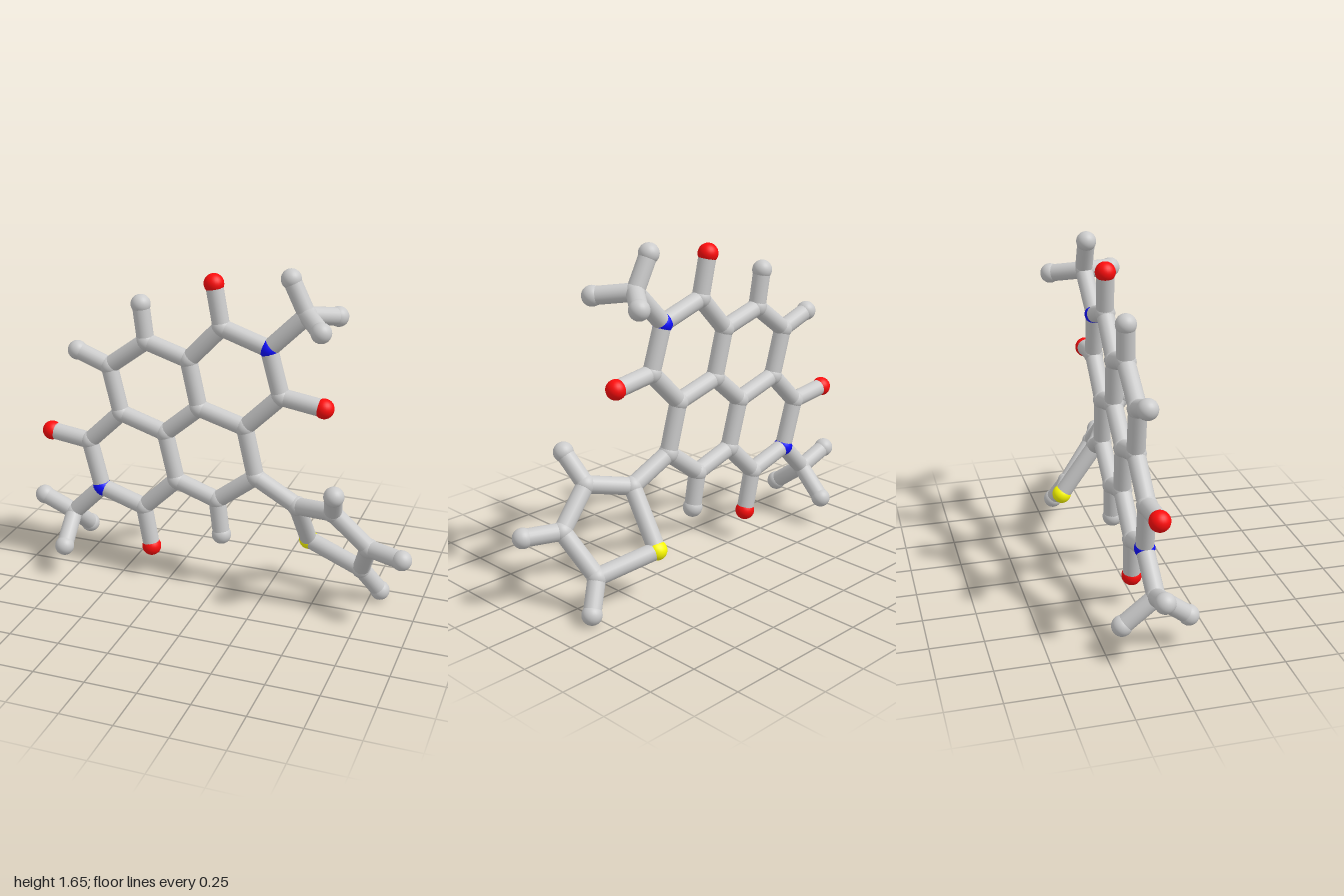
import * as THREE from 'three';

const ATOM_RADIUS = 0.048;
const BOND_RADIUS = 0.042;

// The fused ring system lies in one slightly tilted plane.
const plane = (x, y) => -0.01 - 0.035 * y + 0.02 * x;

// name: [x, y, z]; z is taken from the ring plane when left out.
// The first letter is the element.
const ATOMS = {
  // upper imide ring
  O1: [-0.03, 1.545], C1: [0.01, 1.34], N1: [0.245, 1.265], C2: [0.31, 1.04], O2: [0.52, 1.01],
  C3: [0.135, 0.865], C4: [-0.1, 0.93], C5: [-0.155, 1.165],
  // outer and inner aromatic rings
  C6: [-0.375, 1.23], H6: [-0.4, 1.41], C7: [-0.57, 1.085], H7: [-0.74, 1.145],
  C8: [-0.51, 0.85], C9: [-0.275, 0.78], C10: [-0.215, 0.54],
  C11: [0, 0.47], H11: [0.025, 0.29], C12: [0.195, 0.62],
  // lower imide ring
  C13: [-0.685, 0.68], O3: [-0.895, 0.705], N2: [-0.62, 0.44], C14: [-0.39, 0.37], O4: [-0.35, 0.16],
  // methyl groups
  C15: [0.42, 1.44, -0.06], H15a: [0.34, 1.6, -0.065], H15b: [0.53, 1.415, 0.1], H15c: [0.53, 1.405, -0.205],
  C16: [-0.78, 0.28, -0.03], H16a: [-0.95, 0.345, -0.04], H16b: [-0.765, 0.16, 0.127], H16c: [-0.765, 0.15, -0.18],
  // twisted five-sided side ring
  C17: [0.41, 0.51, -0.01], C18: [0.61, 0.55, 0.085], H18: [0.64, 0.685, 0.2],
  C19: [0.78, 0.38, 0.055], H19: [0.95, 0.38, 0.123],
  C20: [0.715, 0.185, -0.1], H20: [0.8, 0.05, -0.16], S1: [0.425, 0.25, -0.188],
};

// Each chain joins consecutive atoms.
const CHAINS = [
  'C1 N1 C2 C3 C4 C5 C1', 'C5 C6 C7 C8 C9 C4', 'C9 C10 C11 C12 C3',
  'C8 C13 N2 C14 C10', 'C12 C17 C18 C19 C20 S1 C17',
  'O1 C1', 'O2 C2', 'O3 C13', 'O4 C14', 'H6 C6', 'H7 C7', 'H11 C11',
  'N1 C15 H15a', 'H15b C15 H15c', 'N2 C16 H16a', 'H16b C16 H16c',
  'H18 C18', 'H19 C19', 'H20 C20',
];

const ELEMENTS = {
  C: ['carbonAtom', 0xcccccc], H: ['hydrogenAtom', 0xcccccc],
  O: ['oxygenAtom', 0xff0d0d], N: ['nitrogenAtom', 0x0f0fff], S: ['sulfurAtom', 0xffff00],
};

export function createModel() {
  const model = new THREE.Group();
  model.name = 'molecule';
  const grey = new THREE.MeshStandardMaterial({ color: 0xcccccc });
  const materials = {};
  for (const [key, [, color]] of Object.entries(ELEMENTS)) {
    materials[key] = color === 0xcccccc ? grey : new THREE.MeshStandardMaterial({ color });
  }

  // Atoms
  const ball = new THREE.SphereGeometry(ATOM_RADIUS, 24, 16);
  const positions = {};
  for (const [key, [x, y, z = plane(x, y)]] of Object.entries(ATOMS)) {
    positions[key] = new THREE.Vector3(x, y, z);
    const atom = new THREE.Mesh(ball, materials[key[0]]);
    atom.name = ELEMENTS[key[0]][0];
    atom.position.copy(positions[key]);
    model.add(atom);
  }

  // Bonds: one unit rod stretched and turned between two atoms
  const rod = new THREE.CylinderGeometry(BOND_RADIUS, BOND_RADIUS, 1, 20, 1, true);
  const up = new THREE.Vector3(0, 1, 0);
  const addBond = (a, b) => {
    const direction = b.clone().sub(a);
    const bond = new THREE.Mesh(rod, grey);
    bond.name = 'bond';
    bond.position.copy(a).add(b).multiplyScalar(0.5);
    bond.scale.y = direction.length();
    bond.quaternion.setFromUnitVectors(up, direction.normalize());
    model.add(bond);
  };
  for (const chain of CHAINS) {
    const keys = chain.split(' ');
    for (let i = 1; i < keys.length; i++) addBond(positions[keys[i - 1]], positions[keys[i]]);
  }
  return model;
}
